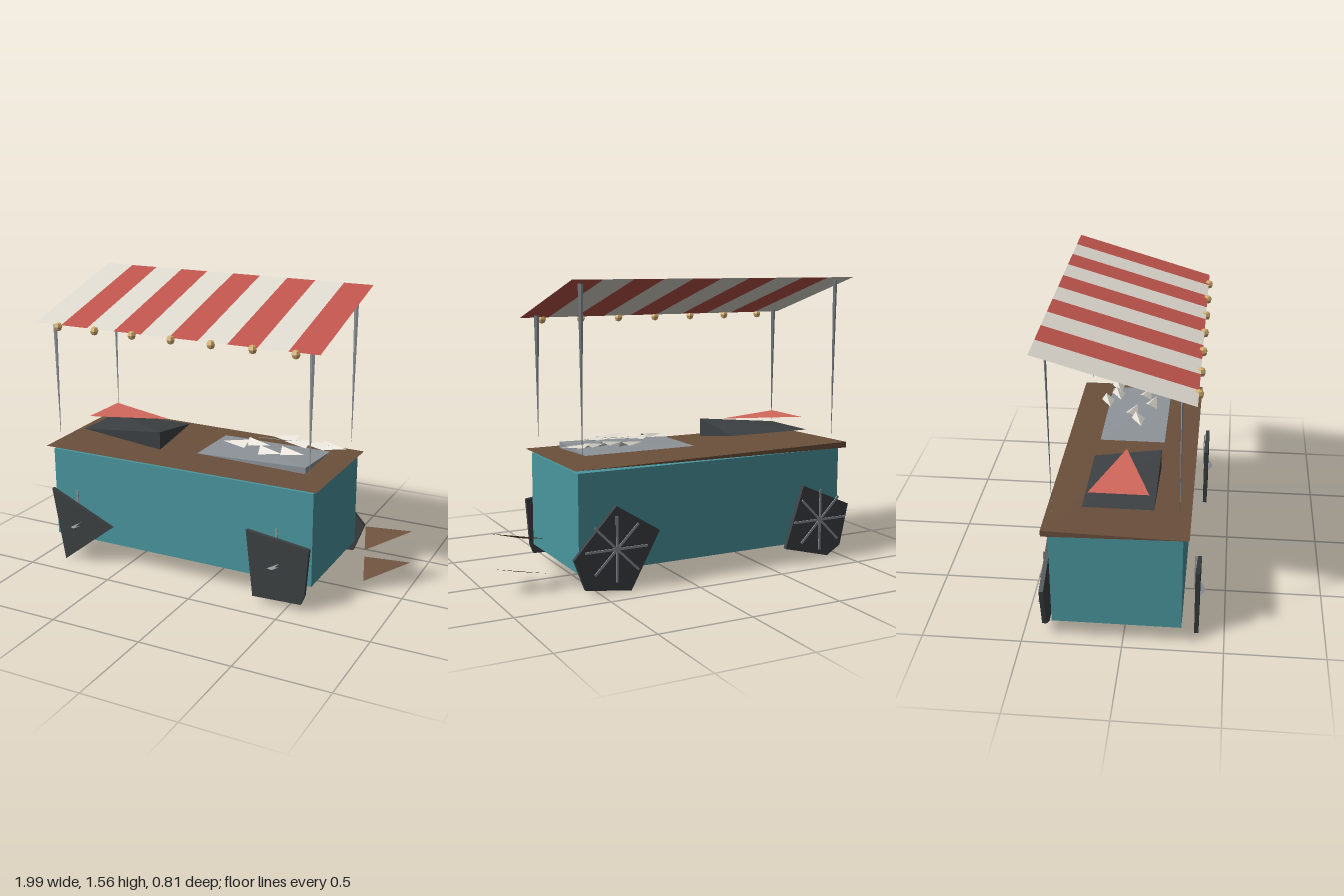
import * as THREE from 'three';

const mat = (name, color, side = THREE.DoubleSide) => {
  const m = new THREE.MeshStandardMaterial({ color, side });
  m.name = name;
  return m;
};

export function createModel() {
  const group = new THREE.Group();
  const teal = mat('teal paint', 0x4a969e, THREE.FrontSide);
  const red = mat('awning red', 0xbf554c);
  const cream = mat('cream', 0xdedad0);
  const brown = mat('brown wood', 0x6b503c);
  const charcoal = mat('charcoal', 0x3c4042);
  const steel = mat('steel', 0x8d9398);
  const brass = mat('bulb amber', 0xd2ac6c, THREE.FrontSide);
  const ember = mat('ember red', 0xd4685c);

  const add = (name, geo, material, x = 0, y = 0, z = 0) => {
    const m = new THREE.Mesh(geo, material);
    m.name = name;
    m.position.set(x, y, z);
    group.add(m);
    return m;
  };

  // flat triangles from lists of corner points
  const facets = (tris) => {
    const g = new THREE.BufferGeometry();
    g.setAttribute('position', new THREE.Float32BufferAttribute(tris.flat(2), 3));
    g.computeVertexNormals();
    return g;
  };

  // plate that is thick at its first corner and thins to the other three
  const wedge = (xa, za, xb, zb, lo, mid, hi) => {
    const top = [xa, hi, za], bottom = [xa, lo, za];
    const p = [xb, mid, za], q = [xb, mid, zb], r = [xa, mid, zb];
    const up = (xb - xa) * (zb - za) < 0;
    const tris = [[top, p, q], [top, q, r], [bottom, q, p], [bottom, r, q], [bottom, p, top], [bottom, top, r]];
    return facets(up ? tris : tris.map(([a, b, c]) => [a, c, b]));
  };

  // cart body and counter
  add('cartBody', new THREE.BoxGeometry(1.565, 0.51, 0.64), teal, -0.178, 0.375, -0.03);
  add('counterTop', wedge(-0.99, -0.38, 0.63, 0.32, 0.635, 0.65, 0.667), brown);

  // grill with its ember bed, and serving tray
  add('grill', wedge(-0.36, 0.145, -0.85, -0.2, 0.67, 0.72, 0.77), charcoal);
  add('emberBed', facets([[[-0.83, 0.79, -0.174], [-0.83, 0.79, 0.12], [-0.4, 0.79, -0.03]]]), ember);
  add('servingTray', wedge(0.5, 0.145, -0.13, -0.2, 0.67, 0.685, 0.705), steel);

  // food slivers on the tray
  const food = [[0.04, 0.0], [0.14, -0.04], [0.25, -0.19], [0.25, 0.06], [0.34, -0.14], [0.36, 0.02], [0.44, -0.15], [0.53, -0.16]];
  food.forEach(([x, z], i) => {
    const s = i % 2 ? 1 : -1;
    add('foodPiece', facets([
      [[x - 0.06 * s, 0.745, z - 0.03], [x - 0.05 * s, 0.71, z + 0.02], [x + 0.08 * s, 0.73, z + 0.01]],
      [[x - 0.06 * s, 0.745, z - 0.03], [x + 0.08 * s, 0.73, z + 0.01], [x - 0.02 * s, 0.725, z - 0.05]],
    ]), cream);
  });
  [-0.15, 0.0].forEach((z) => add('skewer', facets([
    [[0.1, 0.725, z], [0.62, 0.735, z - 0.02], [0.1, 0.725, z + 0.01]],
  ]), steel));

  // striped awning, one slanted sheet
  const w = 1.64 / 10;
  for (let i = 0; i < 10; i++) {
    const x0 = -1 + i * w, x1 = x0 + w;
    const a = [x0, 1.355, 0.34], b = [x1, 1.355, 0.34], c = [x1, 1.57, -0.39], d = [x0, 1.57, -0.39];
    add('awningStripe', facets([[a, b, c], [a, c, d]]), i % 2 ? red : cream);
  }

  // tapering poles
  for (const x of [-0.925, 0.572]) {
    for (const [z, top] of [[0.27, 1.37], [-0.33, 1.55]]) {
      const h = top - 0.71;
      const geo = new THREE.CylinderGeometry(0.014, 0.001, h, 4).toNonIndexed();
      geo.scale(1, 1, 0.4);
      geo.computeVertexNormals();
      add('awningPole', geo, steel, x, 0.71 + h / 2, z);
    }
  }

  // row of bulbs under the awning's front edge
  for (let i = 0; i < 7; i++) {
    const geo = new THREE.SphereGeometry(0.024, 6, 4).toNonIndexed();
    geo.computeVertexNormals();
    add('bulb', geo, brass, -0.855 + i * 0.2283, 1.345, 0.34);
  }

  // faceted wheels: outline, inner z, hub centre
  const wheels = [
    { z: 0.35, hub: [-0.78, 0.23], pts: [[-0.93, 0.425], [-0.86, 0.01], [-0.545, 0.255]] },
    { z: 0.35, hub: [0.43, 0.235], pts: [[0.27, 0.405], [0.31, 0.04], [0.58, 0.05], [0.6, 0.1], [0.62, 0.36]] },
    { z: -0.4, hub: [-0.81, 0.25], pts: [[-0.7, 0.45], [-1.0, 0.32], [-0.95, 0.09], [-0.865, 0.04], [-0.59, 0.11]] },
    { z: -0.4, hub: [0.42, 0.24], pts: [[0.42, 0.46], [0.18, 0.31], [0.34, 0.015], [0.59, 0.05], [0.65, 0.21]] },
  ];
  for (const { z, hub, pts } of wheels) {
    const shape = new THREE.Shape(pts.map(([x, y]) => new THREE.Vector2(x, y)));
    add('wheel', new THREE.ExtrudeGeometry(shape, { depth: 0.022, bevelEnabled: false }), charcoal, 0, 0, z);
    if (z < 0) {
      // spokes on the outer face
      for (let i = 0; i < 4; i++) {
        const spoke = add('spoke', new THREE.BoxGeometry(0.34, 0.012, 0.006), steel, hub[0], hub[1], z - 0.002);
        spoke.rotation.z = i * Math.PI / 4;
      }
    } else {
      // hub sliver and upright spoke tip
      const [x, y] = hub;
      add('hubSliver', facets([
        [[x - 0.04, y - 0.02, z + 0.023], [x + 0.03, y + 0.02, z + 0.023], [x, y - 0.01, z + 0.05]],
        [[x - 0.04, y - 0.02, z + 0.023], [x, y - 0.01, z + 0.05], [x + 0.03, y, z + 0.023]],
      ]), steel);
      add('spoke', new THREE.BoxGeometry(0.012, 0.19, 0.006), steel, x, y + 0.1, z - 0.005);
    }
  }

  // push handles
  for (const y of [0, -0.18]) {
    add('pushHandle', facets([
      [[0.715, 0.285 + y, -0.21], [0.785, 0.245 + y, 0], [0.99, 0.33 + y, -0.155]],
    ]), brown);
  }

  return group;
}
